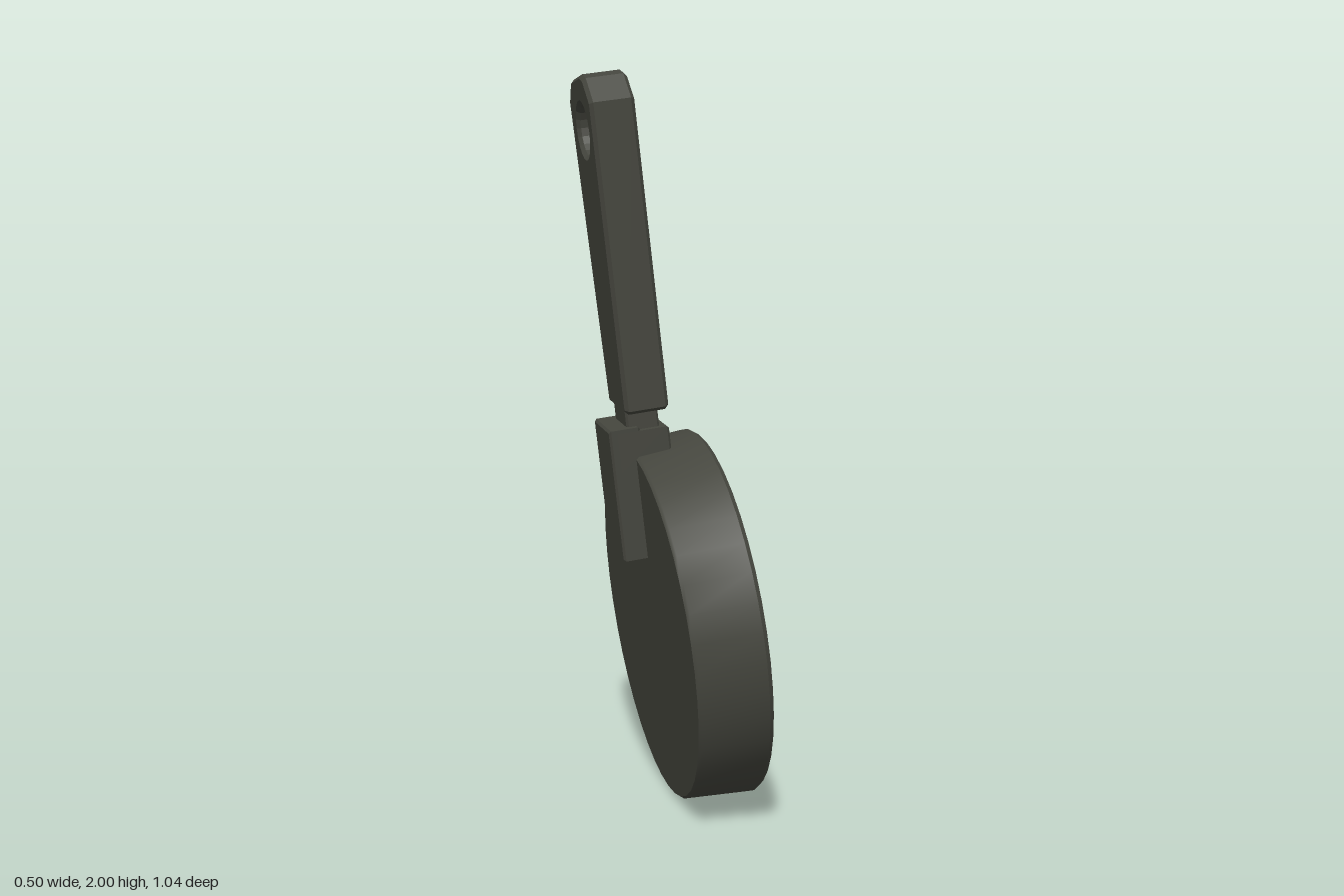
import * as THREE from 'three';
import { toCreasedNormals } from 'three/addons/utils/BufferGeometryUtils.js';

const mat = (name, color) => {
  const m = new THREE.MeshStandardMaterial({ color });
  m.name = name;
  return m;
};

export function createModel() {
  const iron = mat('castIron', 0x45463e);
  const white = mat('eggWhite', 0xe0e0de);
  const orange = mat('yolkOrange', 0xe8a54f);

  // Leaning frame: local x is the pan's axis, local y runs up the handle
  const pan = new THREE.Group();
  pan.name = 'fryingPanWithEgg';
  pan.position.set(-0.065, 0.497, 0);
  pan.rotation.z = 0.113;

  const add = (name, geometry, material) => {
    const mesh = new THREE.Mesh(geometry, material);
    mesh.name = name;
    pan.add(mesh);
    return mesh;
  };
  // Profile of [radius, depth] turned around the pan's axis
  const turned = (profile, segments) =>
    new THREE.LatheGeometry(profile.map(([r, d]) => new THREE.Vector2(r, d)), segments)
      .rotateZ(-Math.PI / 2);
  // Outline of [z, y] with optional hole, extruded along the pan's axis
  const slab = (outline, x0, x1, bevel, hole) => {
    const shape = new THREE.Shape(outline.map(([z, y]) => new THREE.Vector2(-z, y)));
    if (hole) shape.holes.push(new THREE.Path().absarc(-hole[0], hole[1], hole[2], 0, Math.PI * 2, true));
    const g = new THREE.ExtrudeGeometry(shape, {
      depth: x1 - x0 - 2 * bevel, bevelEnabled: true, bevelThickness: bevel,
      bevelSize: bevel, bevelOffset: -bevel, bevelSegments: 1, curveSegments: 10,
    });
    return g.rotateY(Math.PI / 2).translate(x0 + bevel, 0, 0);
  };
  const block = (name, x0, x1, y0, y1, z0, z1) =>
    add(name, slab([[z1, y0], [z0, y0], [z0, y1], [z1, y1]], x0, x1, 0.006), iron);

  // Dish with sloped inner wall
  const dish = turned([
    [0, 0], [0.488, 0], [0.495, 0.008], [0.509, 0.188], [0.5, 0.2], [0.468, 0.2],
    [0.46, 0.19], [0.44, 0.135], [0.405, 0.11], [0, 0.11],
  ], 40).scale(1, 1, 1.02);
  add('panDish', toCreasedNormals(dish, 0.7), iron);

  // Handle with chamfered end and hanging hole
  add('handle', slab([
    [0.095, 0.615], [0.085, 0.606], [-0.1, 0.606], [-0.11, 0.615],
    [-0.165, 1.43], [-0.118, 1.488], [0, 1.508], [0.04, 1.5], [0.1, 1.44],
  ], -0.017, 0.104, 0.01, [-0.027, 1.36, 0.07]), iron);

  // Neck and the bracket clasping the rim
  block('handleNeck', -0.012, 0.078, 0.48, 0.63, -0.072, 0.066);
  block('bracketCollar', -0.05, 0.1, 0.45, 0.558, -0.1, 0.085);
  block('bracketPlate', -0.066, 0.02, 0.205, 0.568, -0.1, 0.085);

  // Egg white: wavy outline drawn inwards through rounded rings
  const outline = new THREE.CatmullRomCurve3([
    [0, 0.34], [0.12, 0.32], [0.2, 0.265], [0.33, 0.24], [0.395, 0.13], [0.36, -0.015],
    [0.39, -0.16], [0.33, -0.28], [0.2, -0.31], [0.06, -0.285], [-0.1, -0.32], [-0.25, -0.29],
    [-0.34, -0.16], [-0.34, -0.05], [-0.365, 0.08], [-0.31, 0.17], [-0.22, 0.21],
    [-0.185, 0.3], [-0.1, 0.34],
  ].map(([z, y]) => new THREE.Vector3(0, y, z)), true);
  const n = 76;
  const rim = outline.getPoints(n).slice(0, n);
  const rings = [[1, 0.108], [1, 0.13], [0.975, 0.15], [0.92, 0.166], [0.8, 0.172], [0.4, 0.176], [0, 0.176]];
  const pos = [], idx = [];
  rings.forEach(([s, x], i) => rim.forEach((p, j) => {
    pos.push(x, p.y * s, p.z * s);
    if (i === rings.length - 1) return;
    const a = i * n + j, b = i * n + (j + 1) % n;
    idx.push(a, b, a + n, b, b + n, a + n);
  }));
  const eggGeo = new THREE.BufferGeometry();
  eggGeo.setAttribute('position', new THREE.Float32BufferAttribute(pos, 3));
  eggGeo.setIndex(idx);
  eggGeo.computeVertexNormals();
  white.side = THREE.DoubleSide;
  add('eggWhite', eggGeo, white);

  // Yolk: flattened dome, fuller towards the bottom
  const yolkGeo = turned([
    [0.176, 0.12], [0.182, 0.2], [0.18, 0.24], [0.16, 0.272], [0.115, 0.293], [0.06, 0.304], [0, 0.307],
  ], 18);
  const p = yolkGeo.attributes.position;
  for (let i = 0; i < p.count; i++) {
    if (p.getX(i) > 0.19) p.setX(i, p.getX(i) - 0.08 * p.getY(i));
  }
  add('yolk', toCreasedNormals(yolkGeo, 0.9), orange).position.z = -0.01;

  const model = new THREE.Group();
  model.name = 'model';
  model.add(pan);
  return model;
}
